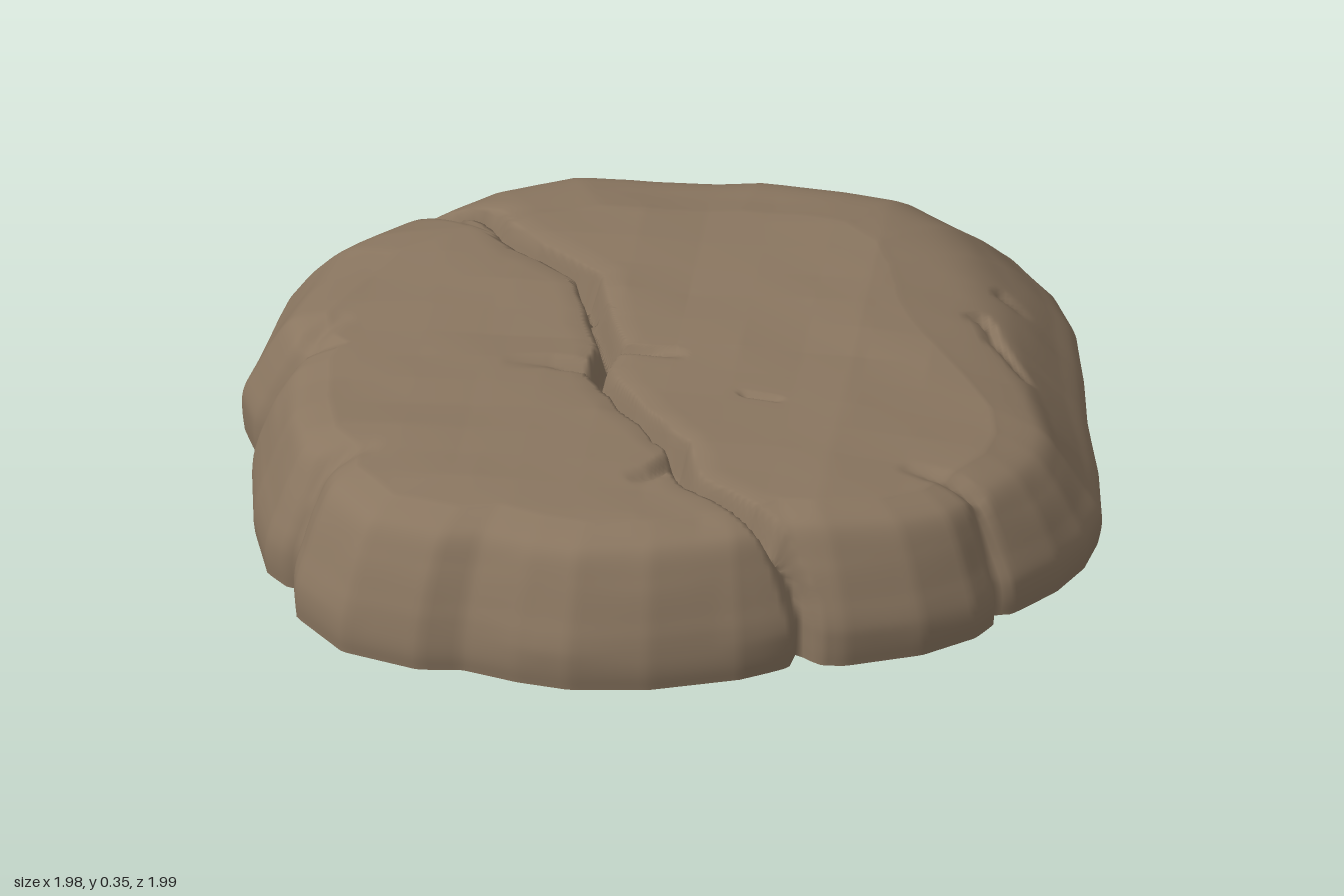
import * as THREE from 'three';

// Outline of the slab seen from above, as [x, z], turning from the back towards -x
const OUTLINE = [
  [0.12, -1], [-0.1, -0.98], [-0.4, -0.95], [-0.6, -0.86], [-0.76, -0.72], [-0.74, -0.68],
  [-0.8, -0.7], [-0.95, -0.48], [-0.97, -0.3], [-1, -0.08], [-0.96, 0.03], [-0.91, 0.08],
  [-0.94, 0.1], [-0.95, 0.16], [-0.92, 0.38], [-0.87, 0.56], [-0.8, 0.64], [-0.78, 0.75],
  [-0.66, 0.89], [-0.48, 0.95], [-0.38, 0.94], [-0.25, 0.98], [-0.13, 1], [0.05, 0.98],
  [0.25, 0.91], [0.38, 0.83], [0.48, 0.82], [0.65, 0.75], [0.76, 0.66], [0.81, 0.57],
  [0.92, 0.43], [0.97, 0.32], [0.99, 0.2], [0.96, 0.02], [0.91, -0.2], [0.88, -0.4],
  [0.84, -0.58], [0.78, -0.72], [0.68, -0.85], [0.52, -0.94], [0.35, -0.97],
];

// Cracks: path over the top, depth and half width; "end" is the depth share left at the last point
const CRACKS = [
  { depth: 0.12, width: 0.028, end: 1, path: [[-0.84, -0.76], [-0.74, -0.68], [-0.62, -0.59], [-0.5, -0.54],
    [-0.38, -0.38], [-0.23, -0.27], [-0.19, -0.1], [-0.15, 0.02], [-0.17, 0.13], [-0.05, 0.32],
    [0.05, 0.45], [0.1, 0.61], [0.25, 0.72], [0.38, 0.82], [0.45, 0.9]] },
  { depth: 0.05, width: 0.022, end: 0, path: [[-0.15, 0.02], [-0.06, 0.03], [0.03, 0.05]] },
  { depth: 0.04, width: 0.035, end: 0, path: [[-0.17, 0.12], [-0.27, 0.11], [-0.38, 0.13]] },
  { depth: 0.05, width: 0.03, end: 0, path: [[0.06, 0.5], [0.02, 0.58], [-0.04, 0.62]] },
  { depth: 0.09, width: 0.03, end: 0.1, path: [[0.88, 0.62], [0.81, 0.57], [0.74, 0.5], [0.58, 0.46]] },
  { depth: 0.08, width: 0.04, end: 0.1, path: [[-0.98, 0.09], [-0.91, 0.08], [-0.85, 0.05], [-0.77, -0.03]] },
  { depth: 0.08, width: 0.035, end: 0.1, path: [[-0.86, 0.68], [-0.8, 0.64], [-0.74, 0.58], [-0.64, 0.55]] },
  { depth: 0.03, width: 0.02, end: 0.6, path: [[0.65, -0.28], [0.72, -0.17], [0.79, -0.08]] },
  { depth: 0.025, width: 0.025, end: 0.6, path: [[0.69, -0.45], [0.74, -0.44]] },
  { depth: 0.015, width: 0.018, end: 0.6, path: [[0.18, 0.2], [0.25, 0.21]] },
];

const lerp = THREE.MathUtils.lerp;
const smooth = THREE.MathUtils.smoothstep;

// Linear lattice noise in -1..1, whose straight ramps read as chipped facets
function hash(x, y, z) {
  const s = Math.sin(x * 127.1 + y * 311.7 + z * 74.7 + 5.3) * 43758.5453;
  return (s - Math.floor(s)) * 2 - 1;
}
function noise(x, y, z) {
  const i = Math.floor(x), j = Math.floor(y), k = Math.floor(z);
  const u = x - i, v = y - j, w = z - k;
  const row = (b, c) => lerp(hash(i, b, c), hash(i + 1, b, c), u);
  return lerp(lerp(row(j, k), row(j + 1, k), v), lerp(row(j, k + 1), row(j + 1, k + 1), v), w);
}

// Distance from the centre to the outline along a direction
function outlineRadius(dx, dz) {
  for (let i = 0; i < OUTLINE.length; i++) {
    const [ax, az] = OUTLINE[i], [bx, bz] = OUTLINE[(i + 1) % OUTLINE.length];
    const ca = dx * az - dz * ax, cb = dx * bz - dz * bx;
    if (ca * cb <= 0 && ca !== cb) {
      const t = ca / (ca - cb);
      const r = lerp(ax, bx, t) * dx + lerp(az, bz, t) * dz;
      if (r > 0) return r;
    }
  }
  return 1;
}

// How deep the cracks cut at a point: a sharp groove with softly worn shoulders
function crackDepth(x, z) {
  let deepest = 0;
  const wx = x + 0.008 * noise(x * 16, 3, z * 16), wz = z + 0.008 * noise(x * 16, 9, z * 16);
  for (const { path, depth, width, end } of CRACKS) {
    for (let i = 0; i < path.length - 1; i++) {
      const [ax, az] = path[i], [bx, bz] = path[i + 1];
      const ex = bx - ax, ez = bz - az;
      const t = THREE.MathUtils.clamp(((wx - ax) * ex + (wz - az) * ez) / (ex * ex + ez * ez), 0, 1);
      const d = Math.hypot(wx - ax - ex * t, wz - az - ez * t);
      const fade = lerp(1, end, (i + t) / (path.length - 1));
      const cut = 0.85 * Math.max(0, 1 - d / width) + 0.15 * Math.max(0, 1 - d / (width * 3)) ** 2;
      deepest = Math.max(deepest, depth * fade * cut);
    }
  }
  return deepest;
}

// Height of the worn top, falling gently towards +x
function topHeight(x, z) {
  return 0.343 - 0.1 * Math.max(0, x - 0.4) - 0.02 * smooth(-x, 0.4, 0.9)
    + 0.013 * noise(x * 2.6 + 4, 0.5, z * 4.5) + 0.007 * noise(x * 7, 2.5, z * 9);
}

export function createModel() {
  const group = new THREE.Group();
  group.name = 'crackedStoneSlab';
  const stone = new THREE.MeshStandardMaterial({ color: 0x8a7660 });
  stone.name = 'brownStone';

  // Edge profile: x is the share of the shoulder width, y the share of the height
  const profile = new THREE.SplineCurve([
    [0.04, 0], [0, 0.28], [0.13, 0.5], [0.32, 0.72], [0.58, 0.91], [1, 1],
  ].map(([x, y]) => new THREE.Vector2(x, y)));

  const SIDES = 420, EDGE = 44, TOP = 80, RINGS = EDGE + TOP;
  const pos = [], index = [];
  for (let i = 0; i <= RINGS; i++) {
    const p = profile.getPoint(Math.min(1, i / EDGE));
    const inner = i > EDGE ? 1 - (i - EDGE) / TOP : 1;
    for (let j = 0; j < SIDES; j++) {
      const a = (j / SIDES) * Math.PI * 2, dx = Math.cos(a), dz = -Math.sin(a);
      const edge = outlineRadius(dx, dz);
      // Shoulder is steep at the front and long at the back and on +x
      const width = 0.18 + 0.22 * smooth(-dz, -0.1, 0.9) + 0.14 * smooth(dx, 0.3, 1) * smooth(-dz, -0.6, 0.1);
      let r = (edge - width * p.x) * inner;
      let x = dx * r, z = dz * r;
      let y = p.y * topHeight(x, z);
      // Chipped facets on the sides, fading over the top
      const up = smooth(p.x, 0.05, 0.7);
      const chip = noise(x * 5, y * 7 + 0.4, z * 5);
      r -= (1 - up) * smooth(y, 0.02, 0.12) * 0.02 * (0.5 + 0.5 * chip);
      y += p.y * p.y * up * (1 - up) * 0.06 * chip;
      // Cracks cut down into the top and inwards into the sides
      const cut = crackDepth(x, z);
      y -= cut * up;
      r -= cut * (1 - up) * 0.45;
      pos.push(dx * r, Math.max(0, y), dz * r);
      if (i < RINGS) {
        const n = i * SIDES + j, m = i * SIDES + (j + 1) % SIDES;
        index.push(n, m, n + SIDES);
        if (i < RINGS - 1) index.push(m, m + SIDES, n + SIDES);
      }
    }
  }
  const slab = new THREE.BufferGeometry();
  slab.setAttribute('position', new THREE.Float32BufferAttribute(pos, 3));
  slab.setIndex(index);
  slab.computeVertexNormals();
  const slabMesh = new THREE.Mesh(slab, stone);
  slabMesh.name = 'slabBody';
  group.add(slabMesh);

  // Flat underside closing the lowest ring
  const basePos = [...pos.slice(0, SIDES * 3), 0, 0, 0], baseIndex = [];
  for (let j = 0; j < SIDES; j++) baseIndex.push(SIDES, (j + 1) % SIDES, j);
  const base = new THREE.BufferGeometry();
  base.setAttribute('position', new THREE.Float32BufferAttribute(basePos, 3));
  base.setIndex(baseIndex);
  base.computeVertexNormals();
  const baseMesh = new THREE.Mesh(base, stone);
  baseMesh.name = 'underside';
  group.add(baseMesh);
  return group;
}
